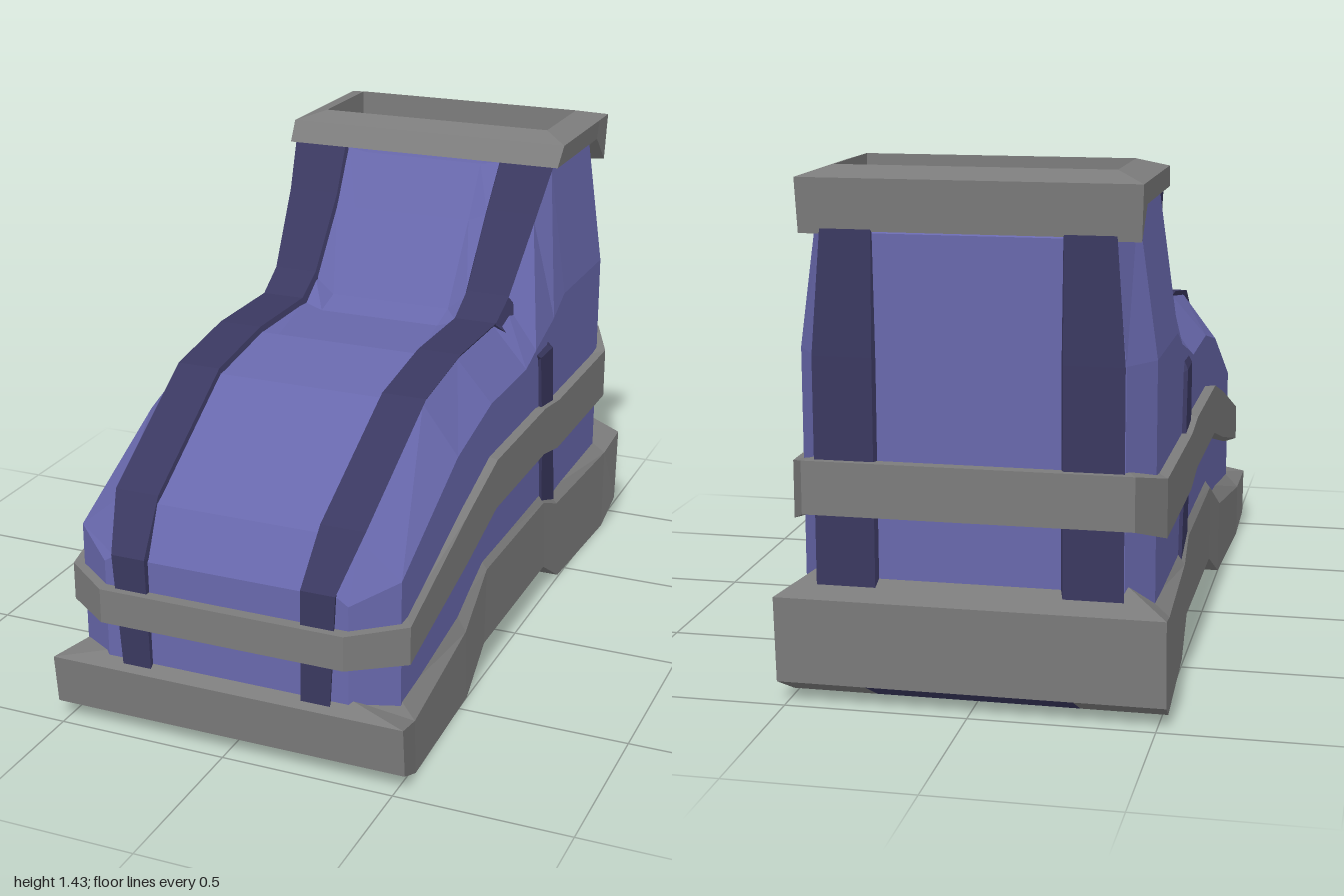
import * as THREE from 'three';

const paint = (color) => new THREE.MeshStandardMaterial({ color, flatShading: true, side: THREE.DoubleSide });

// Half an outline on +x, completed by its mirror image.
const mirror = (half) => [...half, ...half.slice().reverse().map(([x, y, z]) => [-x, y, z])];

// Skin through closed rings of equal length, with optional end caps.
function loft(rings, caps = false) {
  const pos = [];
  const tri = (...pts) => pts.forEach((p) => pos.push(...p));
  const n = rings[0].length;
  for (let k = 0; k + 1 < rings.length; k++) {
    const a = rings[k], b = rings[k + 1];
    for (let i = 0; i < n; i++) {
      const j = (i + 1) % n;
      tri(a[i], b[i], b[j]);
      tri(a[i], b[j], a[j]);
    }
  }
  if (caps) {
    const a = rings[0], b = rings[rings.length - 1];
    for (let i = 1; i + 1 < n; i++) {
      tri(a[0], a[i], a[i + 1]);
      tri(b[0], b[i + 1], b[i]);
    }
  }
  const g = new THREE.BufferGeometry();
  g.setAttribute('position', new THREE.Float32BufferAttribute(pos, 3));
  g.computeVertexNormals();
  return g;
}

// Strip between two edges, its underside sunk towards the middle of the boot.
function strapGeometry(edgeA, edgeB) {
  const sink = ([x, y, z]) => [x * 0.93, y + (0.45 - y) * 0.07, z + (-0.4 - z) * 0.07];
  return loft(edgeA.map((a, i) => [a, edgeB[i], sink(edgeB[i]), sink(a)]), true);
}

export function createModel() {
  const boot = new THREE.Group();
  boot.name = 'boot';
  const grey = paint(0x7c7c7c), blue = paint(0x6868ac), dark = paint(0x3a3860);
  const add = (name, geometry, material) => {
    const mesh = new THREE.Mesh(geometry, material);
    mesh.name = name;
    boot.add(mesh);
  };

  // Upper, toe to heel: z, side width, bottom, shoulder, top width, top, centre dip
  const upper = [
    [0.965, 0.36, 0.18, 0.51, 0.33, 0.53, 0],
    [0.88, 0.475, 0.18, 0.565, 0.355, 0.665, 0],
    [0.47, 0.475, 0.24, 0.76, 0.37, 0.9, 0],
    [0.2, 0.475, 0.3, 0.82, 0.37, 0.94, 0],
    [-0.11, 0.475, 0.3, 0.82, 0.37, 0.94, 0.02],
    [-0.2, 0.475, 0.3, 0.85, 0.37, 0.995, 0.05],
    [-0.37, 0.475, 0.27, 0.9, 0.4, 1.205, 0.025],
    [-0.47, 0.475, 0.25, 0.95, 0.42, 1.345, 0.01],
    [-0.86, 0.475, 0.25, 0.95, 0.42, 1.345, 0],
    [-0.96, 0.41, 0.25, 0.95, 0.38, 1.27, 0],
  ];
  add('upper', loft(upper.map(([z, w, b, s, t, top, dip]) =>
    mirror([[w, b, z], [w, s, z], [t, top, z], [0.25, top, z], [0.19, top - dip, z]])), true), blue);

  // Sole, heel to toe: bottom z,y; outer rim z,y; inner rim z,y; outer x, inner x
  const sole = [
    [-0.985, 0.06, -1, 0.3, -0.95, 0.37, 0.525, 0.42],
    [-0.87, 0, -0.87, 0.27, -0.86, 0.31, 0.515, 0.465],
    [-0.44, 0, -0.4, 0.27, -0.4, 0.31, 0.495, 0.465],
    [-0.3, 0.09, -0.28, 0.32, -0.27, 0.36, 0.49, 0.465],
    [0.26, 0.09, 0.25, 0.325, 0.25, 0.36, 0.49, 0.465],
    [0.43, 0, 0.45, 0.22, 0.45, 0.28, 0.5, 0.465],
    [0.87, 0, 0.88, 0.165, 0.87, 0.22, 0.515, 0.465],
    [0.975, 0.05, 0.99, 0.195, 0.955, 0.235, 0.525, 0.36],
  ];
  add('sole', loft([
    mirror(sole.map(([z, y]) => [0.28, y, z])),
    mirror(sole.map(([z, y, , , , , x]) => [x, y, z])),
    mirror(sole.map(([, , z, y, , , x]) => [x, y, z])),
    mirror(sole.map(([, , , , z, y, , x]) => [x, y, z])),
  ]), grey);

  // Dark tread along the middle of the underside
  add('tread', loft(sole.slice().reverse().map(([z, y]) =>
    mirror([[0.28, y, z], [0.28, y + 0.04, z]])), true), dark);

  // Band around the foot, heel to toe: x, z, bottom, top
  const band = [
    [0.44, -0.995, 0.53, 0.675],
    [0.505, -0.86, 0.48, 0.64],
    [0.505, -0.36, 0.48, 0.64],
    [0.505, -0.22, 0.51, 0.66],
    [0.505, 0.22, 0.51, 0.66],
    [0.505, 0.46, 0.44, 0.59],
    [0.505, 0.89, 0.335, 0.445],
    [0.36, 1, 0.34, 0.44],
  ];
  const bandRing = (row, inset) =>
    mirror(band.map((p) => [p[0] * inset, p[row], p[1] * inset]));
  add('footBand', loft([bandRing(2, 0.92), bandRing(2, 1), bandRing(3, 1), bandRing(3, 0.92)]), grey);

  // Cuff, from under its lip, around the rim and down the inside
  const cuffRing = (x, zBack, zSide, zFront, yBack, ySide = yBack) =>
    mirror([[x, yBack, zBack], [x, ySide, zSide], [x, ySide, zFront]]);
  add('cuff', loft([
    cuffRing(0.37, -0.9, -0.84, -0.52, 1.27, 1.34),
    cuffRing(0.445, -0.955, -0.865, -0.45, 1.265, 1.35),
    cuffRing(0.45, -0.965, -0.87, -0.495, 1.41),
    cuffRing(0.37, -0.87, -0.8, -0.57, 1.435),
    cuffRing(0.37, -0.87, -0.8, -0.57, 1.33),
  ]), grey);

  // Dark floor inside the cuff
  const floor = new THREE.BoxGeometry(0.76, 0.02, 0.32);
  floor.translate(0, 1.345, -0.72);
  add('cuffFloor', floor, dark);

  // Long straps from toe to cuff: z, y, inner x, outer x
  const long = [
    [0.975, 0.2, 0.225, 0.31], [0.98, 0.54, 0.23, 0.33], [0.87, 0.685, 0.24, 0.37],
    [0.47, 0.915, 0.25, 0.38], [0.2, 0.955, 0.25, 0.38], [-0.1, 0.955, 0.25, 0.38],
    [-0.2, 1.01, 0.25, 0.385], [-0.37, 1.22, 0.25, 0.41], [-0.47, 1.37, 0.26, 0.432],
  ];
  // Heel straps from cuff to sole
  const heel = [[-0.965, 1.28, 0.25, 0.385], [-0.975, 0.95, 0.25, 0.41], [-0.975, 0.33, 0.25, 0.41]];
  const edges = (rows) => [rows.map(([z, y, , x]) => [x, y, z]), rows.map(([z, y, x]) => [x, y, z])];

  // Ankle straps down the sides: front edge and back edge
  const ankle = [
    [[0.37, 0.955, -0.1], [0.485, 0.82, -0.22], [0.487, 0.64, -0.24], [0.485, 0.33, -0.275]],
    [[0.38, 1.01, -0.2], [0.487, 0.82, -0.33], [0.487, 0.64, -0.35], [0.485, 0.28, -0.4]],
  ];

  for (const [name, [a, b]] of [['longStrap', edges(long)], ['heelStrap', edges(heel)], ['ankleStrap', ankle]]) {
    const flip = (edge) => edge.map(([x, y, z]) => [-x, y, z]);
    add(name + 'Left', strapGeometry(a, b), dark);
    add(name + 'Right', strapGeometry(flip(b), flip(a)), dark);
  }
  return boot;
}
